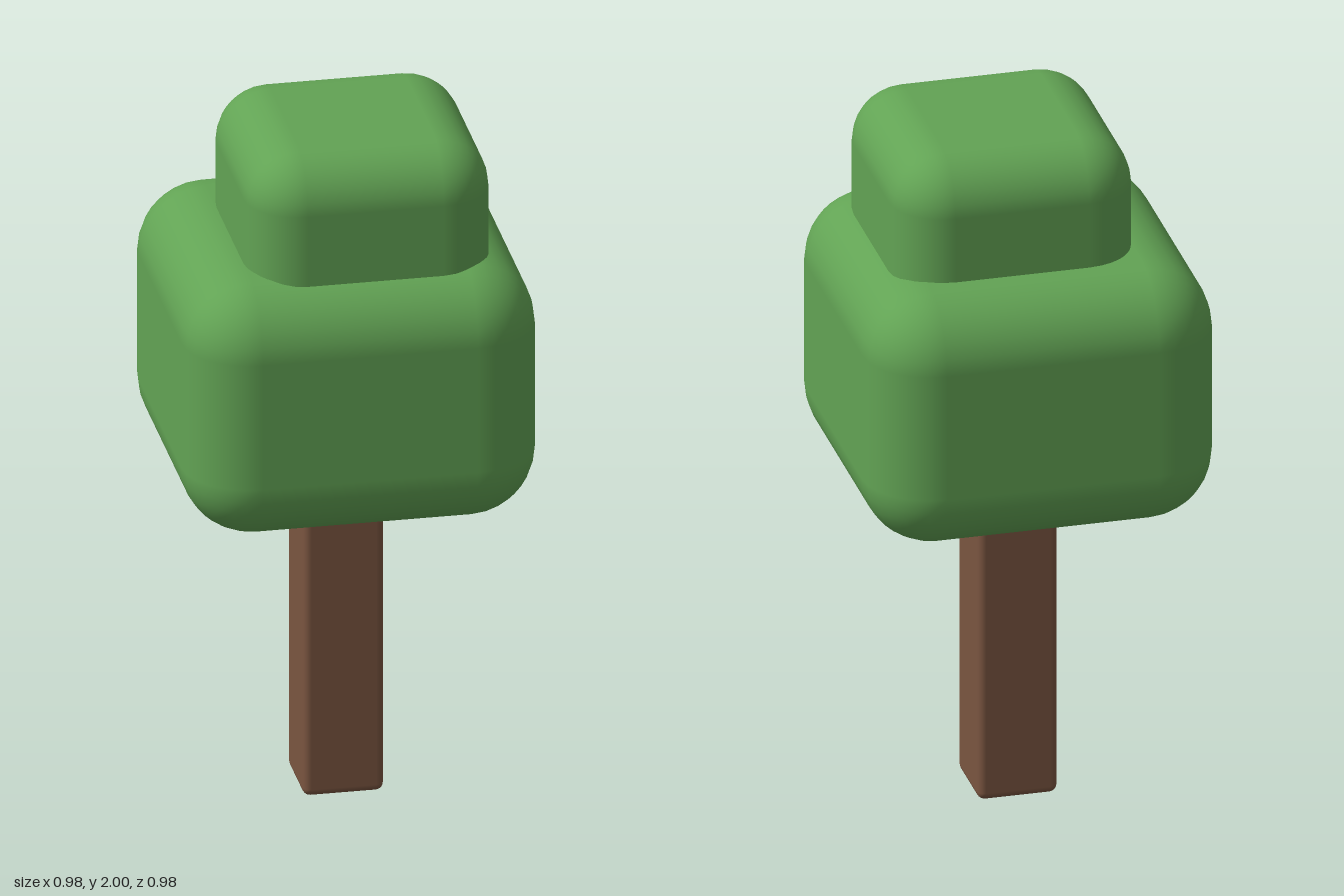
import * as THREE from 'three';
import { RoundedBoxGeometry } from 'three/addons/geometries/RoundedBoxGeometry.js';

export function createModel() {
  const tree = new THREE.Group();
  tree.name = 'tree';

  const leafGreen = new THREE.MeshStandardMaterial({ color: 0x62a354 });
  leafGreen.name = 'leafGreen';
  const barkBrown = new THREE.MeshStandardMaterial({ color: 0x7a5540 });
  barkBrown.name = 'barkBrown';

  // Square rounded block spanning bottom..top, centred at (offset, offset) in x and z
  function addBlock(name, material, width, bottom, top, radius, segments, offset = 0) {
    const height = top - bottom;
    const mesh = new THREE.Mesh(new RoundedBoxGeometry(width, height, width, segments, radius), material);
    mesh.name = name;
    mesh.position.set(offset, bottom + height / 2, offset);
    tree.add(mesh);
  }

  // Trunk, running a little way into the foliage
  addBlock('trunk', barkBrown, 0.224, 0, 1.05, 0.022, 2);
  // Large lower foliage
  addBlock('lowerFoliage', leafGreen, 0.976, 0.91, 1.66, 0.19, 4);
  // Smaller upper foliage, shifted toward the front left
  addBlock('upperFoliage', leafGreen, 0.676, 1.48, 2, 0.15, 4, 0.037);

  return tree;
}
